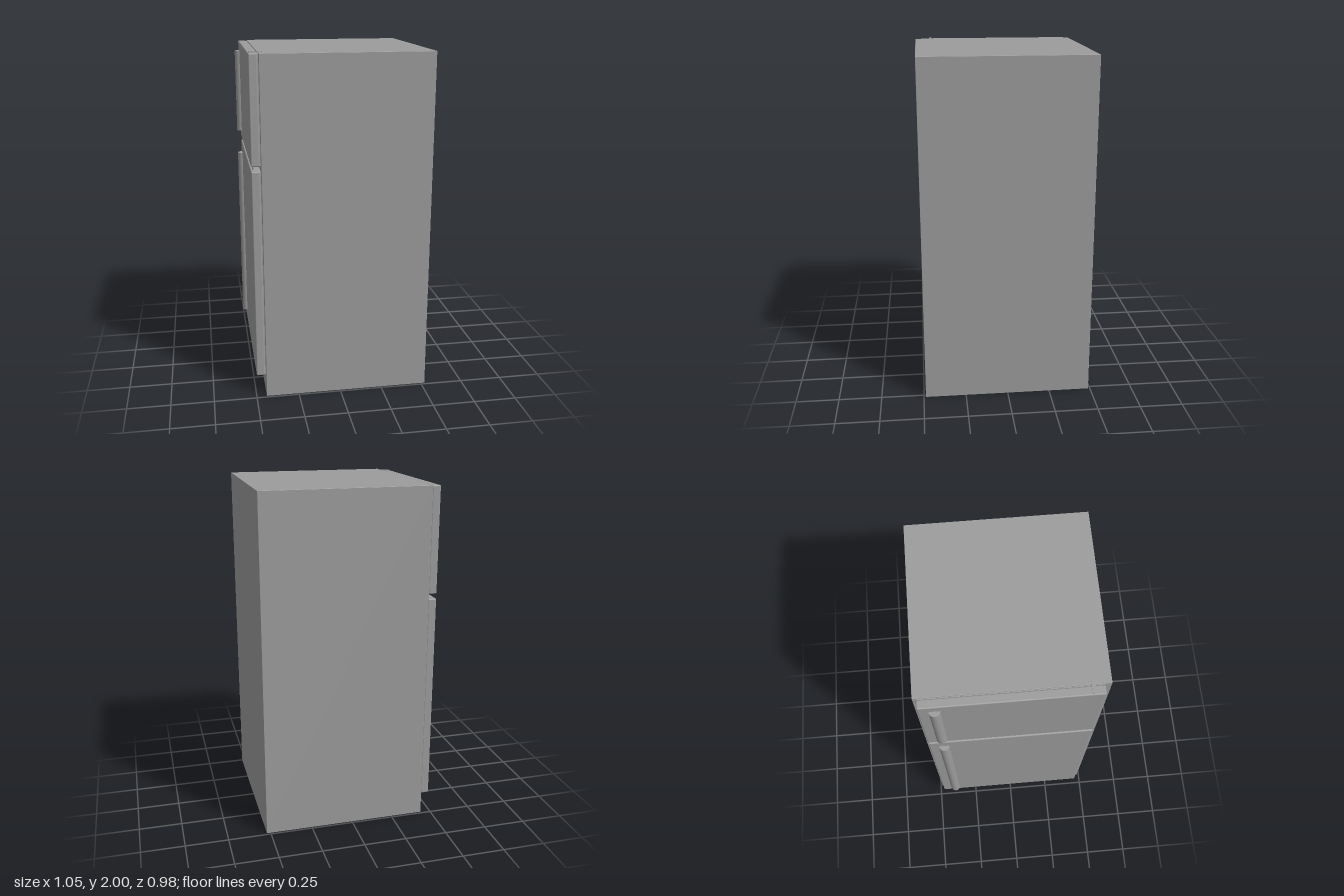
import * as THREE from 'three';
import { RoundedBoxGeometry } from 'three/addons/geometries/RoundedBoxGeometry.js';

const material = new THREE.MeshStandardMaterial({ color: 0x9c9c9c });

function add(parent, name, geometry, x = 0, y = 0, z = 0) {
  const mesh = new THREE.Mesh(geometry, material);
  mesh.name = name;
  mesh.position.set(x, y, z);
  parent.add(mesh);
  return mesh;
}

// Box given by its lower and upper limits, with optionally rounded edges
function block(parent, name, [x0, x1], [y0, y1], [z0, z1], radius = 0) {
  const size = [x1 - x0, y1 - y0, z1 - z0];
  const geometry = radius ? new RoundedBoxGeometry(...size, 3, radius) : new THREE.BoxGeometry(...size);
  return add(parent, name, geometry, (x0 + x1) / 2, (y0 + y1) / 2, (z0 + z1) / 2);
}

// Door with softened edges, its seal and a half-round handle
function door(name, y0, y1, handle0, handle1) {
  const group = new THREE.Group();
  group.name = name;
  block(group, 'doorPanel', [-0.495, -0.446], [y0, y1], [-0.47, 0.455], 0.007);
  block(group, 'doorSeal', [-0.455, -0.44], [y0 + 0.004, y1 - 0.004], [-0.466, 0.451]);
  const bar = new THREE.CylinderGeometry(0.03, 0.03, handle1 - handle0, 24);
  add(group, 'doorHandle', bar, -0.493, (handle0 + handle1) / 2, -0.386);
  return group;
}

export function createModel() {
  const fridge = new THREE.Group();
  fridge.name = 'refrigerator';

  block(fridge, 'cabinet', [-0.441, 0.523], [0, 1.998], [-0.489, 0.489], 0.002);
  fridge.add(door('freezerDoor', 1.385, 1.996, 1.437, 1.94));
  fridge.add(door('mainDoor', 0.12, 1.357, 0.19, 1.29));

  // Top hinge strap with a rounded end, and the pin between the doors
  block(fridge, 'topHinge', [-0.482, -0.412], [1.985, 2], [0.386, 0.401]);
  add(fridge, 'topHingeEnd', new THREE.CylinderGeometry(0.0075, 0.0075, 0.015, 16), -0.482, 1.9925, 0.3935);
  add(fridge, 'middleHingePin', new THREE.CylinderGeometry(0.006, 0.006, 0.05, 16), -0.48, 1.37, 0.3935);

  return fridge;
}
